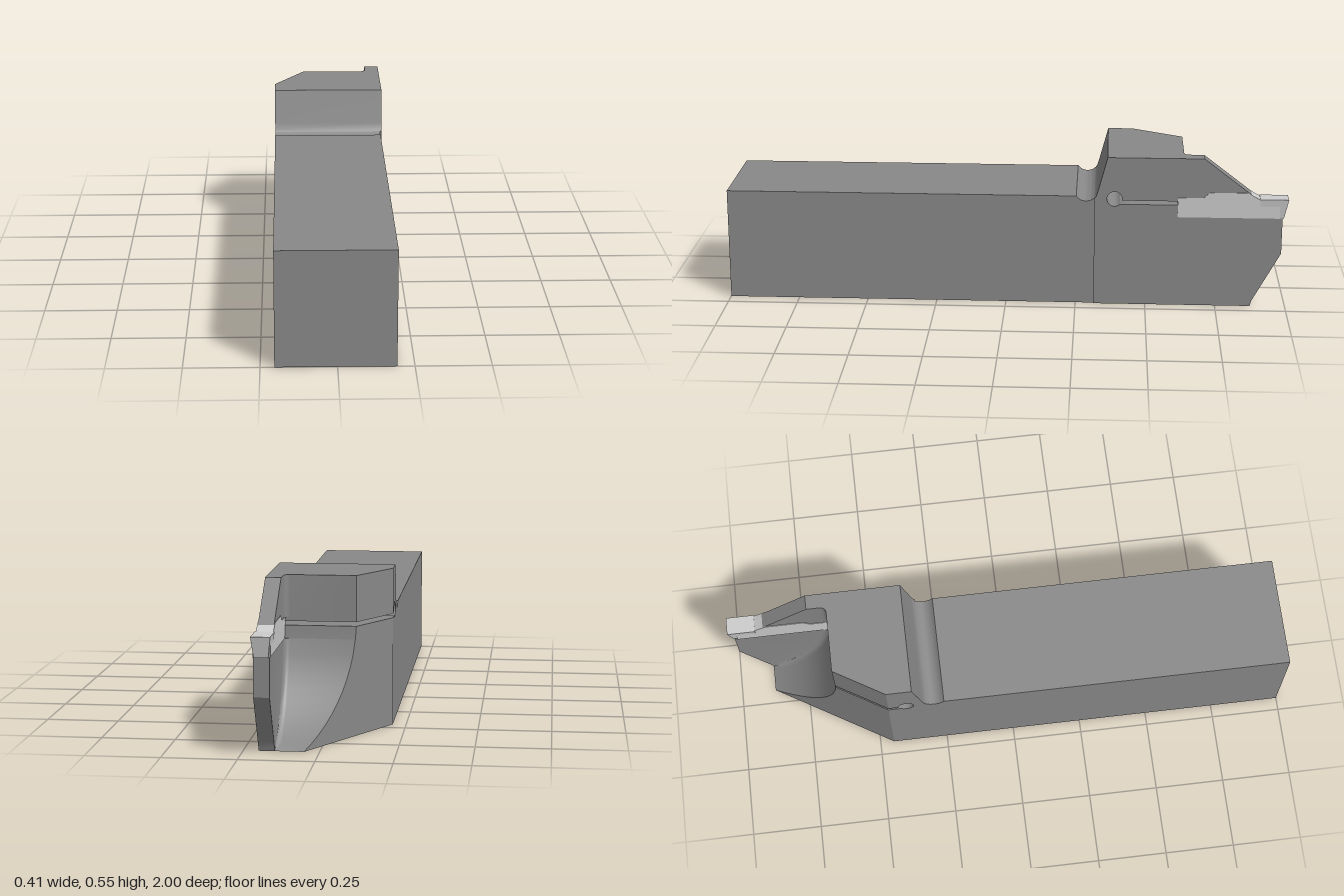
import * as THREE from 'three';
import { toCreasedNormals } from 'three/addons/utils/BufferGeometryUtils.js';

const LEFT = 0.2, RIGHT = -0.204, BLADE = 0.147; // x limits of the head and of the thin blade
const SPLIT = -0.45, STEP = -0.315;              // z of the slant start and of the shank joint

const steel = new THREE.MeshStandardMaterial({ color: 0x888888 });
const carbide = new THREE.MeshStandardMaterial({ color: 0xcccccc });

function part(name, geometry, material) {
  const mesh = new THREE.Mesh(toCreasedNormals(geometry, 0.45), material);
  mesh.name = name;
  return mesh;
}

// Side profile of [z, y] points, extruded across x
function sideExtrude(points, x0, x1) {
  const shape = new THREE.Shape(points.map(([z, y]) => new THREE.Vector2(-z, y)));
  const geometry = new THREE.ExtrudeGeometry(shape, { depth: x1 - x0, bevelEnabled: false });
  return geometry.rotateY(Math.PI / 2).translate(x0, 0, 0);
}

// Horizontal [x, z] outlines (counterclockwise from above) joined upwards and capped
function loft(heights, outline) {
  const rings = heights.map(y => outline(y).map(([x, z]) => new THREE.Vector3(x, y, z)));
  const out = [];
  const tri = (...corners) => corners.forEach(p => out.push(p.x, p.y, p.z));
  for (let k = 0; k + 1 < rings.length; k++) {
    const lo = rings[k], hi = rings[k + 1];
    lo.forEach((a, i) => {
      const j = (i + 1) % lo.length;
      tri(a, lo[j], hi[j]);
      tri(a, hi[j], hi[i]);
    });
  }
  const cap = (ring, up) => {
    const flat = ring.map(p => new THREE.Vector2(p.x, -p.z));
    for (const [a, b, c] of THREE.ShapeUtils.triangulateShape(flat, [])) {
      if (up) tri(ring[a], ring[b], ring[c]);
      else tri(ring[a], ring[c], ring[b]);
    }
  };
  cap(rings[0], false);
  cap(rings[rings.length - 1], true);
  const geometry = new THREE.BufferGeometry();
  geometry.setAttribute('position', new THREE.Float32BufferAttribute(out, 3));
  geometry.computeVertexNormals();
  return geometry;
}

// Rounded groove between the shank top and the clamp
const GROOVE = { z: -0.285, y: 0.425, r: 0.043 };
const groovePoint = z => [z, GROOVE.y - Math.sqrt(GROOVE.r ** 2 - (z - GROOVE.z) ** 2)];

// Concave scoop in front of the head: vertical at the top, running out at the bottom
const scoop = y => y >= 0.4 ? -0.63 : -1.079 + Math.sqrt(0.449 ** 2 - (0.4 - y) ** 2);

// Head outline at one height: blade on the left, filleted scoop, slanted right side
function headOutline(y, tipZ) {
  const s = scoop(y), tip = Math.min(tipZ, s), f = Math.min(0.02, s - tip);
  const points = [[LEFT, SPLIT], [LEFT, tip], [BLADE, tip]];
  for (let i = 0; i <= 4; i++) {
    const a = i / 4 * Math.PI / 2;
    points.push([BLADE - f + f * Math.cos(a), s - f + f * Math.sin(a)]);
  }
  points.push([RIGHT + (SPLIT - s) * 0.6, s], [RIGHT, SPLIT]);
  return points;
}

export function createModel() {
  const group = new THREE.Group();

  // Shank, with the first half of the groove
  const shank = [[STEP, 0], [1, 0], [1, 0.4]];
  for (let i = 0; i <= 8; i++) shank.push(groovePoint(-0.25 + (STEP + 0.25) * i / 8));
  group.add(part('shank', sideExtrude(shank, RIGHT, 0.193), steel));

  // Rear of the head, with the slit ending in a round relief hole
  const slitLow = 0.374, slitHigh = 0.388;
  const hole = { z: -0.386, y: 0.393, r: 0.027 };
  const rear = [[STEP, 0], groovePoint(STEP), groovePoint(-0.321), [-0.328, 0.425], [-0.36, 0.545],
    [SPLIT, 0.545], [SPLIT, slitHigh]];
  const a0 = Math.asin((slitHigh - hole.y) / hole.r), a1 = Math.asin((slitLow - hole.y) / hole.r);
  for (let i = 0; i <= 24; i++) {
    const a = a0 + (2 * Math.PI + a1 - a0) * (1 - (24 - i) / 24);
    // start at the upper lip, go over the hole and come back at the lower lip
    const t = a0 + (a - a0) * (2 * Math.PI - (a0 - a1)) / (2 * Math.PI + a1 - a0);
    rear.push([hole.z - hole.r * Math.cos(t), hole.y + hole.r * Math.sin(t)]);
  }
  rear.push([SPLIT, slitLow], [SPLIT, 0]);
  group.add(part('headRear', sideExtrude(rear, RIGHT, LEFT), steel));

  // Lower jaw: scooped body with the supporting blade, and the ledge behind the insert
  const jawHeights = [0, 0.02, 0.04, 0.07, 0.1, 0.13, 0.165, 0.2, 0.24, 0.28, 0.33];
  const jawTip = y => -0.87 - 0.11 * Math.min(1, y / 0.2);
  group.add(part('lowerJaw', loft(jawHeights, y => headOutline(y, jawTip(y))), steel));
  group.add(part('seatLedge', loft([0.33, 0.352, slitLow], y => headOutline(y, -0.6)), steel));

  // Upper clamp: plain wall at slit height, then the sloping blade above the insert
  const clampTip = y => -0.7 - 0.19 * (0.545 - y) / 0.145;
  group.add(part('clampLip', loft([slitHigh, 0.4], y => headOutline(y, -0.6)), steel));
  group.add(part('upperClamp', loft([0.4, 0.545], y => headOutline(y, clampTip(y))), steel));

  // Cutting insert: bar with a raised middle and a wider, relieved cutting end
  const insert = new THREE.Group();
  insert.name = 'cuttingInsert';
  const bar = [[-0.61, 0.33], [-0.61, 0.402], [-0.7, 0.402], [-0.722, 0.422], [-0.86, 0.422],
    [-0.875, 0.412], [-0.9, 0.398], [-0.97, 0.398], [-0.97, 0.33]];
  insert.add(part('insertBar', sideExtrude(bar, 0.145, 0.202), carbide));
  insert.add(part('cuttingEdge', loft([0.33, 0.4], y => {
    const t = (y - 0.33) / 0.07;
    const l = 0.197 + 0.008 * t, r = 0.15 - 0.009 * t;
    return [[l, -0.9], [l, -0.985 - 0.015 * t], [r, -0.985 - 0.015 * t], [r, -0.9]];
  }), carbide));
  group.add(insert);

  return group;
}
